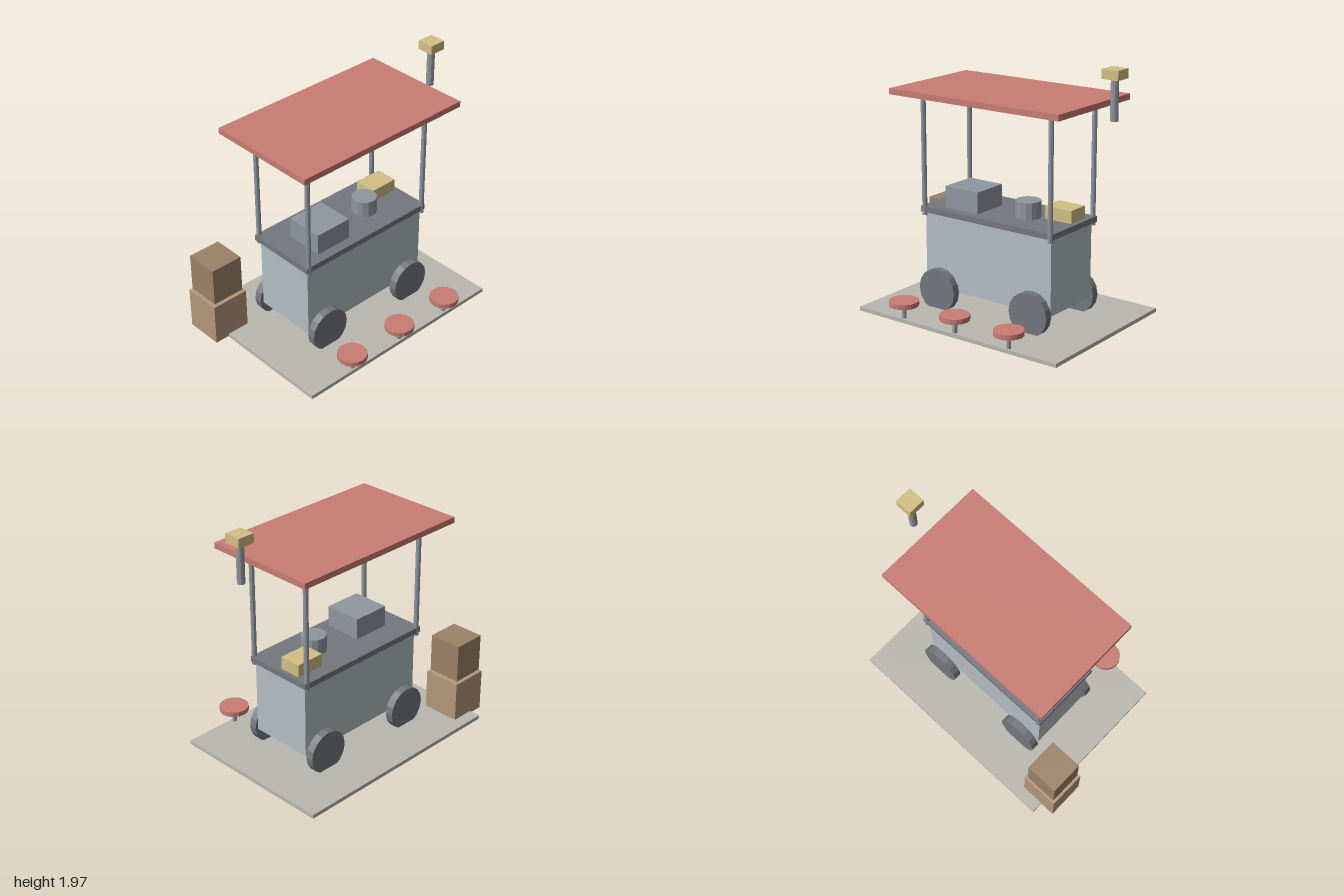
import * as THREE from 'three';

const mat = (color) => new THREE.MeshStandardMaterial({ color, flatShading: true });

export function createModel() {
  const group = new THREE.Group();
  const paving = mat(0xb8b8b0), panel = mat(0xb4bec4), steel = mat(0x90979e), dark = mat(0x74787e);
  const red = mat(0xc87d73), yellow = mat(0xd2c084), card = mat(0xb3977a), cardDark = mat(0x9c8268);

  const add = (name, geometry, material, x, y, z) => {
    const mesh = new THREE.Mesh(geometry, material);
    mesh.name = name;
    mesh.position.set(x, y, z);
    group.add(mesh);
    return mesh;
  };
  // Box given by its extents on each axis
  const box = (name, material, [x0, x1], [y0, y1], [z0, z1]) =>
    add(name, new THREE.BoxGeometry(x1 - x0, y1 - y0, z1 - z0), material,
      (x0 + x1) / 2, (y0 + y1) / 2, (z0 + z1) / 2);
  // Upright cylinder from y0 to y1
  const rod = (name, material, r, sides, x, [y0, y1], z) =>
    add(name, new THREE.CylinderGeometry(r, r, y1 - y0, sides), material, x, (y0 + y1) / 2, z);

  // Ground slab, cart body, counter and canopy
  box('groundSlab', paving, [-0.88, 0.93], [0, 0.03], [-0.705, 0.622]);
  box('cartBody', panel, [-0.55, 0.6], [0.167, 0.738], [-0.295, 0.218]);
  box('counter', dark, [-0.578, 0.625], [0.75, 0.795], [-0.329, 0.244]);
  box('canopy', red, [-0.725, 0.78], [1.657, 1.702], [-0.495, 0.408]);

  // Canopy posts
  for (const x of [-0.55, 0.6])
    for (const z of [-0.313, 0.232]) rod('canopyPost', steel, 0.0195, 10, x, [0.727, 1.63], z);

  // Wheels on both long sides
  for (const x of [-0.397, 0.447])
    for (const z of [-0.345, 0.26]) {
      const wheel = add('wheel', new THREE.CylinderGeometry(0.167, 0.167, 0.062, 16), dark, x, 0.169, z);
      wheel.rotation.x = Math.PI / 2;
    }

  // Cooking gear on the counter
  box('grill', steel, [-0.4, -0.096], [0.795, 0.961], [-0.131, 0.168]);
  rod('pot', steel, 0.096, 14, 0.234, [0.795, 0.923], -0.012);
  box('tray', yellow, [0.357, 0.59], [0.795, 0.893], [-0.221, -0.046]);

  // Row of stools along the front
  for (const x of [-0.459, 0.024, 0.508]) {
    rod('stoolSeat', red, 0.1125, 16, x, [0.132, 0.17], 0.593);
    rod('stoolLeg', steel, 0.0175, 8, x, [0.03, 0.132], 0.593);
  }

  // Stacked crates behind the cart
  box('lowerCrate', card, [-1, -0.698], [0.012, 0.345], [-0.614, -0.316]);
  box('upperCrate', cardDark, [-0.981, -0.719], [0.361, 0.663], [-0.598, -0.332]);

  // Lamp with its short pole
  rod('lampPole', steel, 0.0295, 10, 0.934, [1.6, 1.897], -0.04);
  box('lampHead', yellow, [0.867, 1], [1.897, 1.967], [-0.106, 0.026]);

  return group;
}
